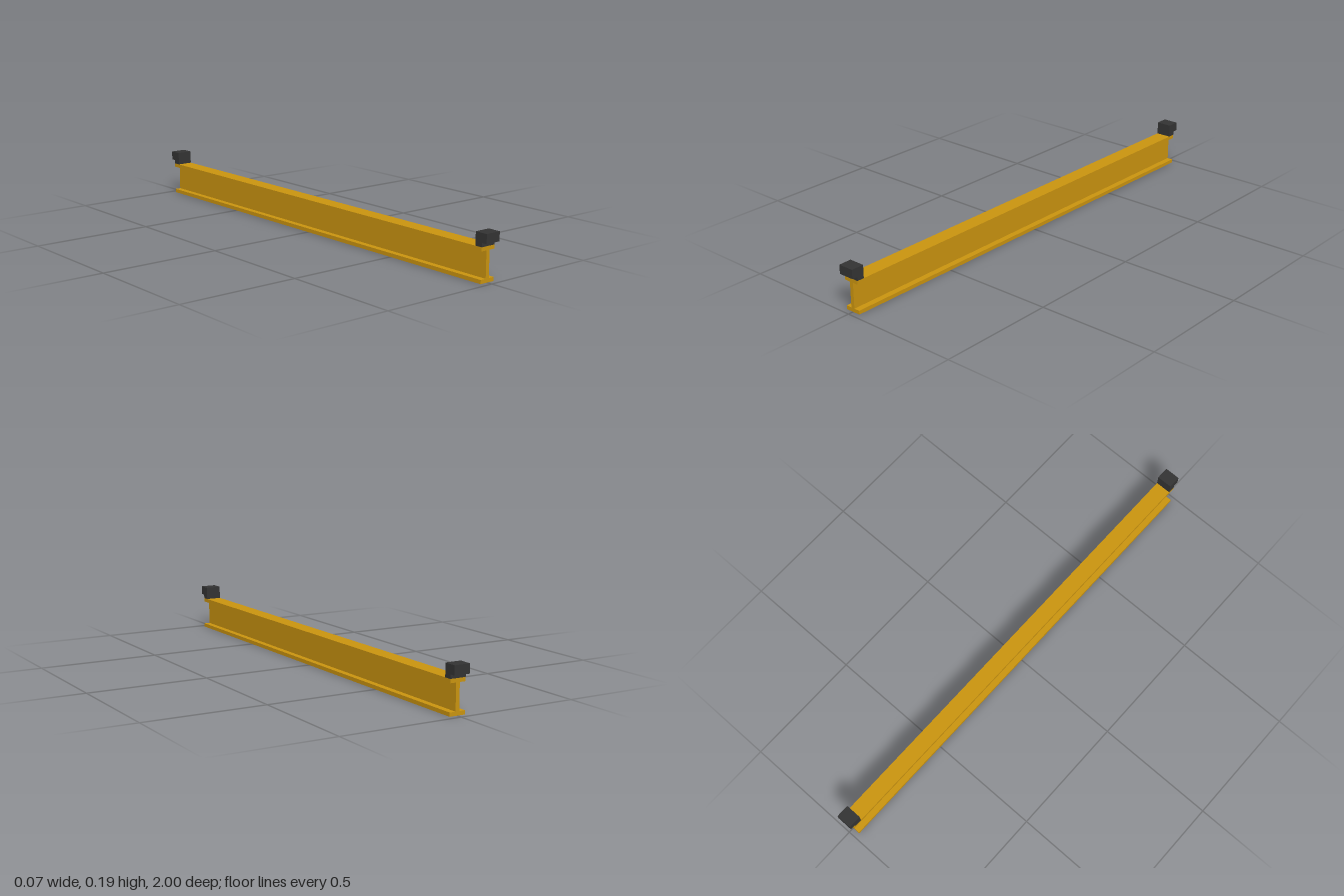
import * as THREE from 'three';

const yellow = new THREE.MeshStandardMaterial({ color: 0xc9930f });
const black = new THREE.MeshStandardMaterial({ color: 0x333333 });

// Extrude a closed outline, centred along its depth
function extrude(name, points, depth, material) {
  const shape = new THREE.Shape(points.map(([x, y]) => new THREE.Vector2(x, y)));
  const geometry = new THREE.ExtrudeGeometry(shape, { depth, bevelEnabled: false });
  geometry.translate(0, 0, -depth / 2);
  const mesh = new THREE.Mesh(geometry, material);
  mesh.name = name;
  return mesh;
}

export function createModel() {
  const group = new THREE.Group();
  group.name = 'girder';

  const halfWidth = 0.033, halfWeb = 0.008, height = 0.136, flange = 0.0155;
  const halfLength = 0.977;

  // I-beam: right half of the section, mirrored for the left
  const half = [
    [halfWidth, 0], [halfWidth, flange], [halfWeb, flange],
    [halfWeb, height - flange], [halfWidth, height - flange], [halfWidth, height],
  ];
  const section = [...half, ...half.map(([x, y]) => [-x, y]).reverse()];
  group.add(extrude('beam', section, halfLength * 2, yellow));

  // End stops: L-shaped blocks overhanging each end of the beam
  const top = 0.189, step = 0.152, inner = 0.946;
  const profile = [
    [inner, height], [halfLength, height], [halfLength, step],
    [1, step], [1, top], [inner, top],
  ];
  for (const [name, turn] of [['frontStop', -Math.PI / 2], ['backStop', Math.PI / 2]]) {
    const stop = extrude(name, profile, halfWidth * 2, black);
    stop.rotation.y = turn;
    group.add(stop);
  }

  return group;
}
